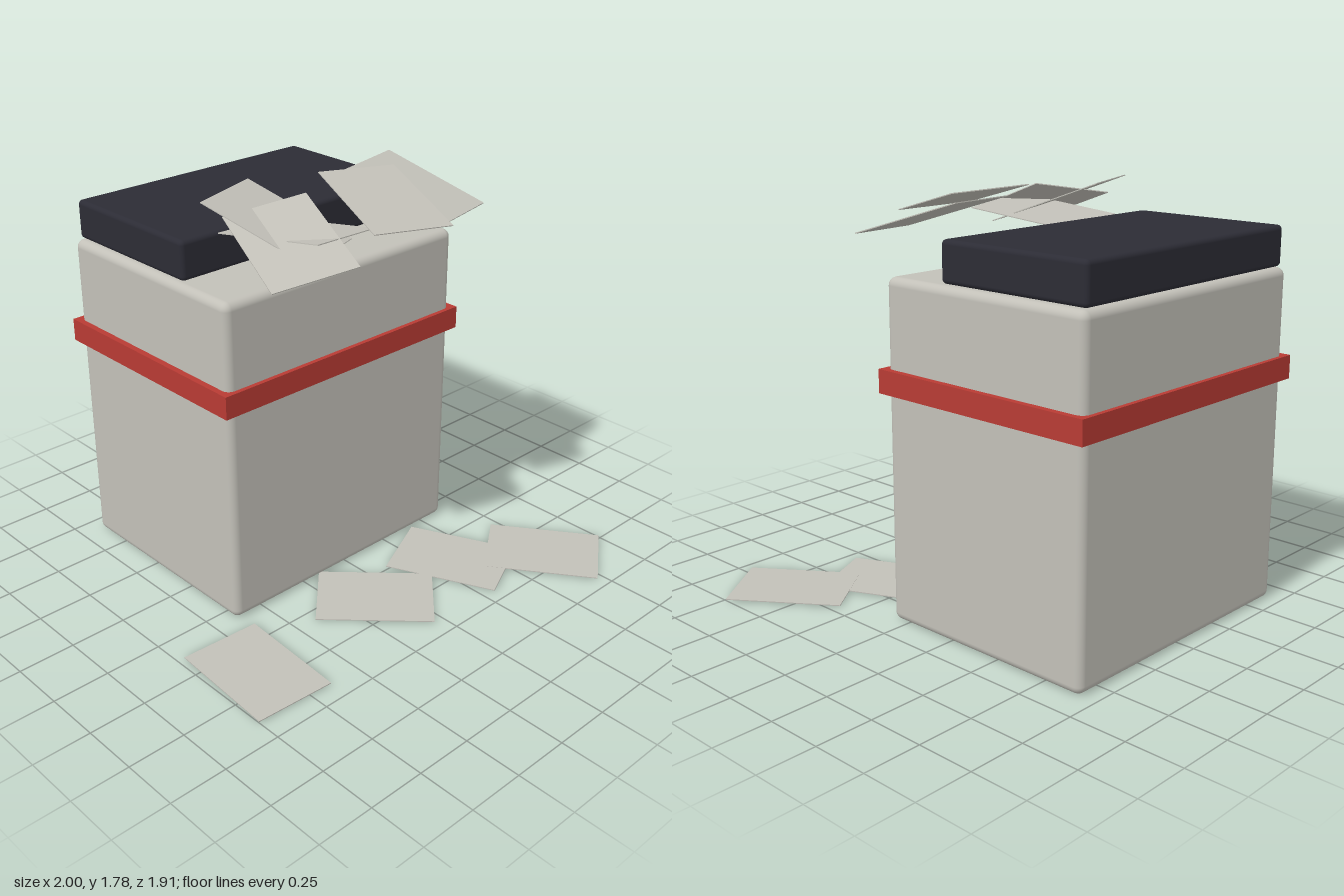
import * as THREE from 'three';
import { RoundedBoxGeometry } from 'three/addons/geometries/RoundedBoxGeometry.js';

const material = (name, color) => new THREE.MeshStandardMaterial({ name, color });

export function createModel() {
  const model = new THREE.Group();
  model.name = 'binWithPapers';
  const grey = material('warm grey', 0xc2c0b8);
  const dark = material('dark lid', 0x2c2c35);
  const red = material('red band', 0xb83b34);

  const add = (name, geometry, mat, x, y, z) => {
    const mesh = new THREE.Mesh(geometry, mat);
    mesh.name = name;
    mesh.position.set(x, y, z);
    model.add(mesh);
    return mesh;
  };

  // Bin: rounded body, band around it, lid pushed to the back
  add('binBody', new RoundedBoxGeometry(1.275, 1.445, 1.02, 4, 0.035), grey, -0.012, 0.7225, -0.427);
  add('band', new THREE.BoxGeometry(1.33, 0.1, 1.06), red, -0.012, 1.025, -0.427);
  add('lid', new RoundedBoxGeometry(1.228, 0.17, 0.72, 4, 0.02), dark, -0.012, 1.533, -0.565);

  // Sheets of paper: x, y, z, yaw, pitch, roll
  const sheet = new THREE.BoxGeometry(0.355, 0.004, 0.505);
  const papers = {
    floorPaper: [
      [-0.807, 0.005, 0.4, -0.06, 0, 0],
      [0.71, 0.006, 0.64, 0.625, 0, 0],
      [0.364, 0.005, 0.39, 0.435, 0, 0],
      [-0.102, 0.005, 0.365, 0.785, 0, 0],
    ],
    spillingPaper: [
      [-0.309, 1.68, 0.0, 0.335, 0.36, -0.01],
      [-0.383, 1.655, 0.157, -0.31, 0.29, 0.16],
      [-0.234, 1.628, 0.025, 0.165, -0.12, -0.09],
      [0.135, 1.707, 0.147, -0.293, 0.23, -0.05],
      [0.413, 1.67, 0.042, 0.197, 0.3, 0.02],
    ],
  };
  for (const [name, list] of Object.entries(papers)) {
    list.forEach(([x, y, z, yaw, pitch, roll], i) => {
      add(name + (i + 1), sheet, grey, x, y, z).rotation.set(pitch, yaw, roll, 'YXZ');
    });
  }
  return model;
}
